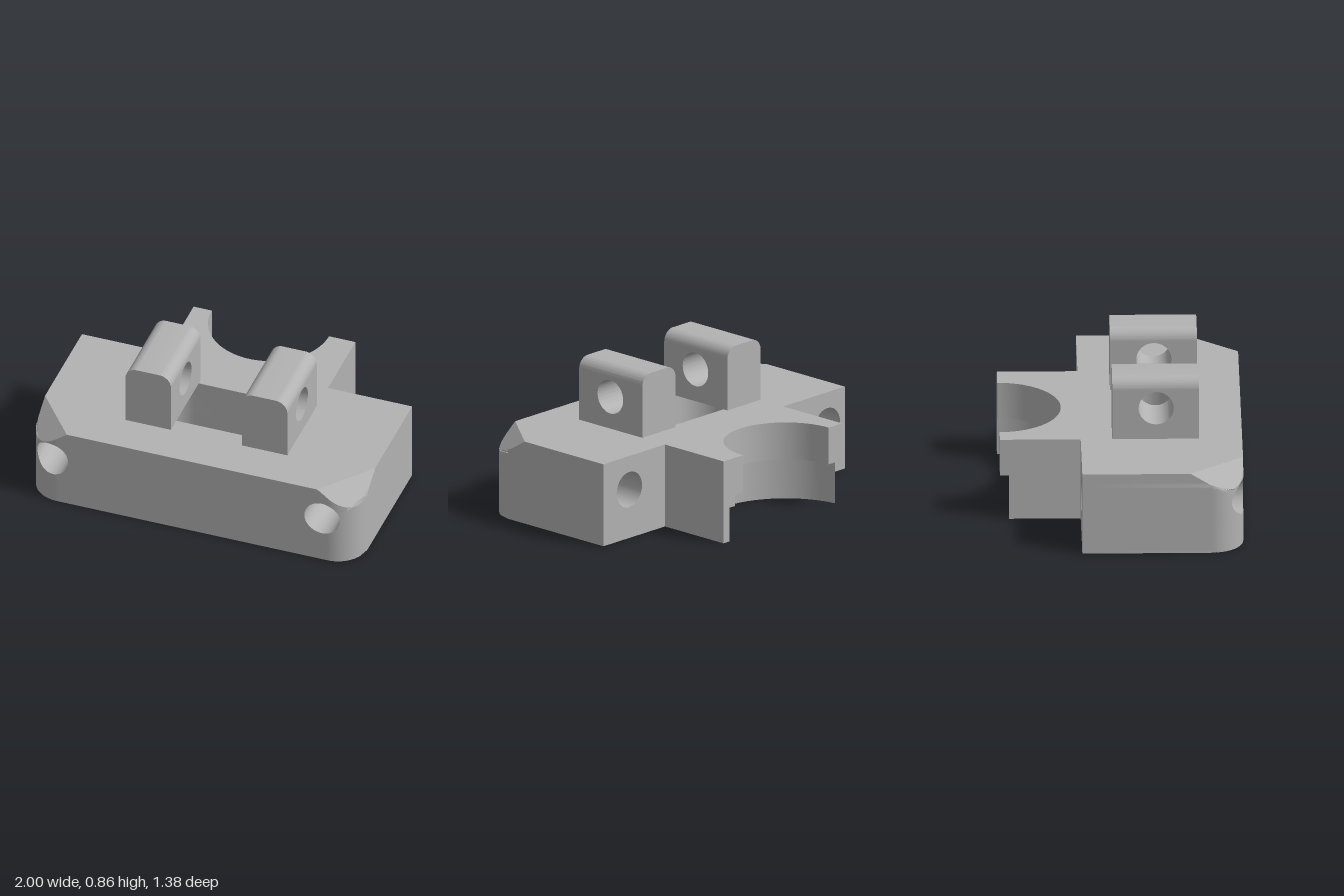
import * as THREE from 'three';
import { toCreasedNormals } from 'three/addons/utils/BufferGeometryUtils.js';

const TOP = 0.49, FRONT = 0.69, BACK = -0.23, STEP = 0.27;
const BORE_X = -0.025;

// extrude a plan outline (x, -z) upward from y0 to y1
function extrudeUp(shape, y0, y1) {
  const g = new THREE.ExtrudeGeometry(shape, { depth: y1 - y0, bevelEnabled: false, curveSegments: 40 });
  g.rotateX(-Math.PI / 2).translate(0, y0, 0);
  return toCreasedNormals(g, 0.5);
}

// middle of the body: rounded slot through it, round bore cut from the back
function middlePlan(boreRadius) {
  const s = new THREE.Shape();
  s.moveTo(-0.49, -FRONT);
  s.lineTo(0.49, -FRONT);
  s.lineTo(0.49, FRONT);
  const reach = Math.min(1, (0.49 + BORE_X) / boreRadius);
  s.absarc(BORE_X, FRONT, boreRadius, 0, -Math.PI + Math.acos(reach), true);
  if (reach === 1) s.lineTo(-0.49, FRONT);
  s.closePath();
  const slot = new THREE.Path();
  slot.absarc(0.245, -0.167, 0.187, -Math.PI / 2, Math.PI / 2, false);
  slot.absarc(-0.245, -0.167, 0.187, Math.PI / 2, Math.PI * 1.5, false);
  slot.closePath();
  s.holes.push(slot);
  return s;
}

// front surface of an end block: rounded upright corner cut by a sloped chamfer
const roundZ = (x) => 0.51 + Math.sqrt(Math.max(0, 0.18 ** 2 - Math.max(0, Math.abs(x) - 0.82) ** 2));
const chamferZ = (x, y) => (1.02 + TOP - y - 0.78 * Math.abs(x)) / 0.62;

// end block: loops around a lengthwise bolt hole
function endBlock(side, hx) {
  const hy = 0.29, r = 0.105, n = 16;
  const x0 = side > 0 ? 0.49 : -1, x1 = side > 0 ? 1 : -0.49;
  const angles = [];
  for (let i = 0; i < 128; i++) angles.push((i / 128) * Math.PI * 2 + 0.001);
  for (const cx of [x0, x1]) for (const cy of [0, TOP]) {
    angles.push((Math.atan2(cy - hy, cx - hx) + Math.PI * 2) % (Math.PI * 2));
  }
  angles.sort((a, b) => a - b);
  const pos = [], idx = [];
  let rings = 0;
  for (const a of angles) {
    const c = Math.cos(a), s = Math.sin(a);
    const outer = Math.min(((c > 0 ? x1 : x0) - hx) / c, ((s > 0 ? TOP : 0) - hy) / s);
    const gap = (t) => chamferZ(hx + c * t, hy + s * t) - roundZ(hx + c * t);
    // find where the chamfer starts along this ray
    let edge = outer * 0.99;
    if (gap(edge) < 0) {
      let lo = r, hi = edge;
      for (let k = 0; k < 40; k++) {
        const m = (lo + hi) / 2;
        if (gap(m) > 0) lo = m; else hi = m;
      }
      edge = lo;
    }
    const ts = [];
    for (let k = 4; k >= 1; k--) ts.push(edge + (outer - edge) * k / 4);
    for (let k = n; k >= 0; k--) ts.push(r + (edge - r) * Math.sin((k / n) * Math.PI / 2));
    const loop = [[r, BACK], [outer, BACK]];
    for (const t of ts) {
      const x = hx + c * t, y = hy + s * t;
      loop.push([t, Math.min(roundZ(x), chamferZ(x, y))]);
    }
    rings = loop.length;
    for (const [t, z] of loop) pos.push(hx + c * t, hy + s * t, z);
  }
  const N = angles.length;
  for (let i = 0; i < N; i++) for (let j = 0; j < rings; j++) {
    const i2 = (i + 1) % N, j2 = (j + 1) % rings;
    const p = i * rings + j, q = i2 * rings + j, u = i2 * rings + j2, v = i * rings + j2;
    idx.push(p, q, u, p, u, v);
  }
  const g = new THREE.BufferGeometry();
  g.setAttribute('position', new THREE.Float32BufferAttribute(pos, 3));
  g.setIndex(idx);
  return toCreasedNormals(g, 0.5);
}

// lug: drilled lower part and a cap with rounded long edges
function lugParts(x0, x1) {
  const z0 = -0.05, z1 = 0.445, yc = 0.79, yt = 0.862, r = 0.07;
  const s = new THREE.Shape();
  s.moveTo(-z1, TOP);
  s.lineTo(-z0, TOP);
  s.lineTo(-z0, yc);
  s.lineTo(-z1, yc);
  s.closePath();
  const hole = new THREE.Path();
  hole.absarc(-0.2, 0.68, 0.1, 0, Math.PI * 2, true);
  s.holes.push(hole);
  const base = new THREE.ExtrudeGeometry(s, { depth: x1 - x0, bevelEnabled: false, curveSegments: 48 });
  base.rotateY(Math.PI / 2).translate(x0, 0, 0);

  const c = new THREE.Shape();
  c.moveTo(x0, yc);
  c.lineTo(x1, yc);
  c.absarc(x1 - r, yt - r, r, 0, Math.PI / 2, false);
  c.absarc(x0 + r, yt - r, r, Math.PI / 2, Math.PI, false);
  c.closePath();
  const cap = new THREE.ExtrudeGeometry(c, { depth: z1 - z0, bevelEnabled: false, curveSegments: 12 });
  cap.translate(0, 0, z0);
  return [toCreasedNormals(base, 0.5), toCreasedNormals(cap, 0.5)];
}

export function createModel() {
  const model = new THREE.Group();
  model.name = 'mountingBracket';
  const grey = new THREE.MeshStandardMaterial({ color: 0xb2b2b2 });
  grey.name = 'grey';
  const add = (name, geometry, parent = model) => {
    const m = new THREE.Mesh(geometry, grey);
    m.name = name;
    parent.add(m);
    return m;
  };

  // body
  add('lowerBody', extrudeUp(middlePlan(0.468), 0, STEP));
  add('upperBody', extrudeUp(middlePlan(0.355), STEP, TOP));
  add('leftEndBlock', endBlock(1, 0.785));
  add('rightEndBlock', endBlock(-1, -0.855));

  // small locating key inside the lower bore
  add('boreKey', new THREE.BoxGeometry(0.08, STEP, 0.05)).position.set(-0.02, STEP / 2, -0.232);

  // pair of lugs
  for (const [name, x0, x1] of [['leftLug', 0.213, 0.488], ['rightLug', -0.492, -0.217]]) {
    const lug = new THREE.Group();
    lug.name = name;
    const [base, cap] = lugParts(x0, x1);
    add(name + 'Base', base, lug);
    add(name + 'Cap', cap, lug);
    model.add(lug);
  }
  return model;
}
